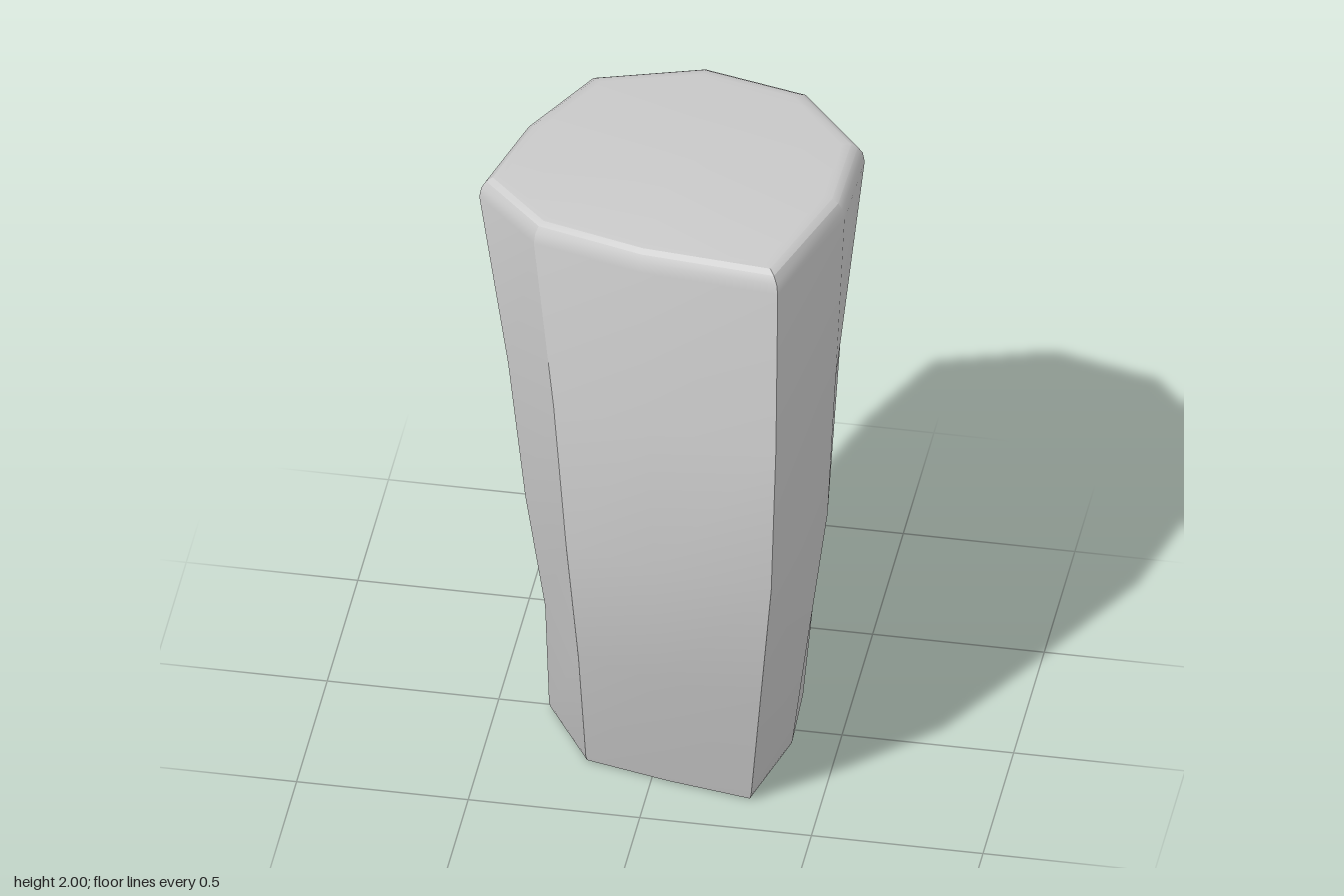
import * as THREE from 'three';
import { toCreasedNormals } from 'three/addons/utils/BufferGeometryUtils.js';

// Ten-sided cross-sections [x, z], from the front left corner round the back
const sections = [
  { h: 0.02, tilt: 0, pts: [[0.3, 0.365], [0.37, 0.08], [0.36, -0.15], [0.19, -0.34], [0, -0.4],
    [-0.2, -0.34], [-0.33, -0.16], [-0.35, 0.02], [-0.2, 0.26], [0.05, 0.32]] },
  { h: 0.45, tilt: 0.15, pts: [[0.35, 0.49], [0.43, 0.16], [0.41, -0.05], [0.23, -0.25], [0, -0.325],
    [-0.2, -0.26], [-0.32, -0.06], [-0.34, 0.14], [-0.2, 0.38], [0.05, 0.45]] },
  { h: 0.9, tilt: 0.4, pts: [[0.4, 0.595], [0.49, 0.18], [0.46, -0.03], [0.26, -0.25], [0, -0.33],
    [-0.22, -0.26], [-0.36, -0.03], [-0.38, 0.24], [-0.22, 0.47], [0.05, 0.55]] },
  { h: 1.36, tilt: 0.8, pts: [[0.41, 0.575], [0.51, 0.16], [0.48, -0.1], [0.29, -0.34], [0, -0.41],
    [-0.26, -0.33], [-0.4, -0.08], [-0.43, 0.24], [-0.26, 0.45], [0.03, 0.53]] },
  { h: 1.88, tilt: 1, pts: [[0.41, 0.545], [0.525, 0.1], [0.525, -0.23], [0.32, -0.5], [0, -0.595],
    [-0.32, -0.49], [-0.46, -0.18], [-0.53, 0.15], [-0.33, 0.38], [0, 0.49]] },
];

// Place a section at its height, tilted up toward the front left
function ring({ h, tilt, pts }, scale = 1, height = h) {
  return pts.map(([x, z]) => [
    x * scale, height + tilt * (0.02 * x + 0.087 * z) * scale, z * scale]);
}

function loft(rings) {
  const n = rings[0].length;
  const positions = rings.flat(2);
  const index = [];
  // Walls
  for (let i = 0; i < rings.length - 1; i++) {
    for (let j = 0; j < n; j++) {
      const k = (j + 1) % n;
      const a = i * n + j, b = i * n + k, c = b + n, d = a + n;
      index.push(a, b, c, a, c, d);
    }
  }
  // End caps, fanned from a centre point
  const last = rings.length - 1;
  [0, last].forEach((r) => {
    const centre = positions.length / 3;
    for (let axis = 0; axis < 3; axis++) {
      positions.push(rings[r].reduce((sum, p) => sum + p[axis], 0) / n);
    }
    for (let j = 0; j < n; j++) {
      const a = r * n + j, b = r * n + (j + 1) % n;
      if (r === last) index.push(centre, a, b);
      else index.push(centre, b, a);
    }
  });
  const geometry = new THREE.BufferGeometry();
  geometry.setAttribute('position', new THREE.Float32BufferAttribute(positions, 3));
  geometry.setIndex(index);
  return toCreasedNormals(geometry, THREE.MathUtils.degToRad(27));
}

export function createModel() {
  const bottom = sections[0];
  const top = sections[sections.length - 1];
  const rings = [
    // Small bottom bevel
    ring(bottom, 0.96, 0),
    ring(bottom, 0.985, 0.005),
    ...sections.map((s) => ring(s)),
    // Rounded top rim
    ring(top, 0.99, 1.912),
    ring(top, 0.965, 1.934),
    ring(top, 0.93, 1.946),
    ring(top, 0.88, 1.949),
  ];
  const body = new THREE.Mesh(loft(rings), new THREE.MeshStandardMaterial({ color: 0xcccccc }));
  body.name = 'curvedColumn';
  const group = new THREE.Group();
  group.name = 'facetedPillar';
  group.add(body);
  return group;
}
